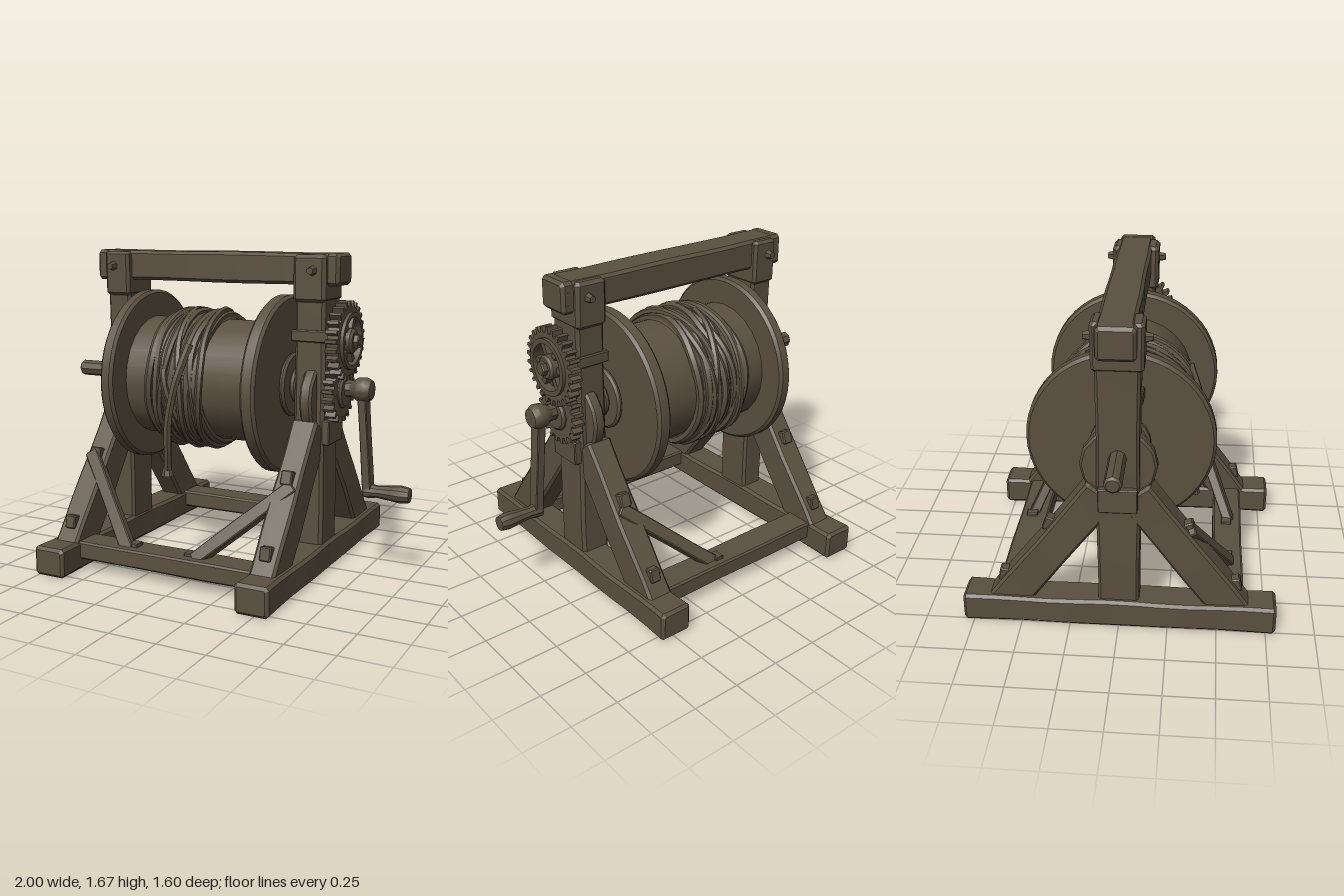
import * as THREE from 'three';
import { toCreasedNormals } from 'three/addons/utils/BufferGeometryUtils.js';

const wood = new THREE.MeshStandardMaterial({ color: 0x5b5040 });
wood.name = 'weathered brown';
const V = (x, y, z) => new THREE.Vector3(x, y, z);

export function createModel() {
  const model = new THREE.Group();
  model.name = 'windlass';
  let seed = 0;

  function add(name, geo, parent = model, crease = 0.6) {
    const mesh = new THREE.Mesh(toCreasedNormals(geo, crease), wood);
    mesh.name = name;
    parent.add(mesh);
    return mesh;
  }

  // Hewn timber from a to b: w is its width along world x (along z for beams lying on x), h its depth
  function beam(name, a, b, w, h, rough = 0.035, parent = model) {
    const len = a.distanceTo(b), c = Math.min(w, h) * 0.1, x = w / 2, y = h / 2;
    const outline = [[-x + c, -y], [x - c, -y], [x, -y + c], [x, y - c], [x - c, y], [-x + c, y], [-x, y - c], [-x, -y + c]];
    const geo = new THREE.ExtrudeGeometry(new THREE.Shape(outline.map(p => new THREE.Vector2(...p))), {
      depth: len - 2 * c, steps: Math.max(1, Math.round(len * 7)),
      bevelThickness: c, bevelSize: c, bevelOffset: -c, bevelSegments: 1,
    });
    geo.translate(0, 0, c);
    const k = ++seed, p = geo.attributes.position;
    for (let i = 0; i < p.count; i++) {
      const s = p.getZ(i);
      p.setX(i, p.getX(i) * (1 + rough * Math.sin(s * 11 + k * 2.3)));
      p.setY(i, p.getY(i) * (1 + rough * Math.sin(s * 8 + k * 1.7)));
    }
    const dir = b.clone().sub(a).normalize();
    const ref = Math.abs(dir.x) > 0.9 ? V(0, 0, 1) : V(1, 0, 0);
    const up = dir.clone().cross(ref).normalize();
    const side = up.clone().cross(dir);
    geo.applyMatrix4(new THREE.Matrix4().makeBasis(side, up, dir).setPosition(a));
    return add(name, geo, parent, 0.35);
  }

  // Turned part around the x axis; profile points are [radius, x]
  function turned(name, profile, y, segments = 32, parent = model) {
    const geo = new THREE.LatheGeometry(profile.map(p => new THREE.Vector2(...p)), segments);
    geo.rotateZ(-Math.PI / 2).translate(0, y, 0);
    return add(name, geo, parent);
  }
  const disc = (name, x0, x1, r, y, segments = 32, bevel = 0.012) =>
    turned(name, [[0, x0], [r - bevel, x0], [r, x0 + bevel], [r, x1 - bevel], [r - bevel, x1], [0, x1]], y, segments);

  // Side frames
  for (const [side, cx, w] of [[-1, -0.67, 0.14], [1, 0.475, 0.165]]) {
    const foot = side < 0 ? -0.68 : 0.488;
    beam('foot', V(foot, 0.08, -0.8), V(foot, 0.08, 0.8), 0.175, 0.15);
    beam('post', V(cx, 0.1, 0), V(cx, 1.5, 0), w, 0.21, 0.02);
    beam('postHead', V(cx, 1.42, 0), V(cx, 1.66, 0), w + 0.01, 0.25, 0.015);
    for (const z of [-1, 1]) {
      beam('leg', V(cx, 0.06, z * 0.615), V(cx, 0.775, z * 0.075), 0.14, 0.185, 0.03);
      beam('legPeg', V(cx, 0.21, z * 0.59), V(cx, 0.28, z * 0.575), 0.06, 0.07);
      beam('legPeg', V(cx, 0.53, z * 0.36), V(cx, 0.6, z * 0.335), 0.06, 0.06);
      const head = new THREE.CylinderGeometry(0.018, 0.027, 0.04, 6);
      head.rotateX(z * Math.PI / 2).translate(cx + side * 0.02, 1.58, z * 0.14);
      add('postPeg', head);
    }
    // Bearing plate through the post, collar and straps
    const bx = side < 0 ? -0.677 : 0.488;
    disc('bearingPlate', bx - 0.033, bx + 0.033, 0.19, 0.92, 14);
    beam('postCatch', V(cx + side * w * 0.54, 0.69, 0), V(cx + side * w * 0.54, 0.82, 0), 0.05, 0.2);
    beam('postStrap', V(side < 0 ? -0.66 : 0.375, 1.25, 0), V(side < 0 ? -0.565 : 0.6, 1.25, 0), 0.225, 0.06);
  }

  // Top beam with thicker ends
  beam('topBeam', V(-0.8, 1.585, -0.005), V(0.61, 1.585, -0.005), 0.185, 0.16, 0.02);
  beam('topBeamEnd', V(-0.815, 1.585, 0), V(-0.74, 1.585, 0), 0.19, 0.165, 0.01);
  beam('topBeamEnd', V(0.55, 1.585, 0), V(0.625, 1.585, 0), 0.19, 0.165, 0.01);

  // Cross rails and corner braces
  for (const z of [-0.56, 0.555]) beam('crossRail', V(-0.64, 0.11, z), V(0.44, 0.11, z), 0.16, 0.095, 0.02);
  beam('brace', V(-0.7, 0.575, 0.35), V(-0.33, 0.13, 0.57), 0.07, 0.055);
  beam('brace', V(0.51, 0.53, 0.36), V(0.06, 0.14, 0.57), 0.07, 0.055);
  beam('brace', V(0.51, 0.53, -0.36), V(0.06, 0.14, -0.57), 0.07, 0.055);
  for (const [x, z] of [[-0.3, 0.55], [0.03, 0.55], [0.03, -0.57]])
    beam('bracePeg', V(x - 0.025, 0.16, z), V(x + 0.025, 0.16, z), 0.06, 0.03);

  // Drum, flanges and hubs
  const axis = 0.98;
  disc('drum', -0.52, 0.3, 0.325, axis, 24);
  disc('flange', -0.565, -0.49, 0.468, axis, 48, 0.015);
  disc('flange', 0.255, 0.337, 0.468, axis, 48, 0.015);
  disc('hub', 0.33, 0.362, 0.17, axis, 20);
  disc('hub', 0.36, 0.4, 0.1, axis, 16);
  disc('hub', -0.605, -0.56, 0.15, axis, 20);
  disc('axle', -1, 0.7, 0.044, axis, 8);

  // Rope wound in uneven, tilted loops over a solid core
  const rope = new THREE.Group();
  rope.name = 'rope';
  model.add(rope);
  turned('ropeCore', [[0.3, -0.36], [0.345, -0.34], [0.36, -0.2], [0.355, -0.05], [0.3, -0.02]], axis, 28, rope);
  function loop(x, radius, tilt, phase, thick) {
    const pts = [];
    for (let i = 0; i < 18; i++) {
      const t = i / 18 * Math.PI * 2;
      const r = radius + 0.007 * Math.sin(3 * t + phase * 2);
      pts.push(V(x + tilt * Math.sin(t + phase) + 0.008 * Math.sin(4 * t + phase), axis + r * Math.sin(t), r * Math.cos(t)));
    }
    add('ropeLoop', new THREE.TubeGeometry(new THREE.CatmullRomCurve3(pts, true), 48, thick, 6, true), rope, 0.9);
  }
  for (let i = 0; i < 9; i++) loop(-0.335 + i * 0.036, 0.347 + 0.008 * Math.sin(i * 2.1), 0.012, i * 1.3, 0.024);
  for (let i = 0; i < 5; i++) loop(-0.25 + i * 0.04, 0.365, 0.05 + 0.012 * (i % 3), i * 1.9, 0.019);
  const tail = new THREE.CatmullRomCurve3([V(-0.1, 1.2, 0.32), V(-0.15, 1.0, 0.385), V(-0.19, 0.8, 0.395), V(-0.2, 0.65, 0.385), V(-0.215, 0.52, 0.36)]);
  add('ropeTail', new THREE.TubeGeometry(tail, 20, 0.022, 6), rope, 0.9);
  const knot = new THREE.CylinderGeometry(0.018, 0.034, 0.06, 7);
  add('ropeEnd', knot.translate(-0.217, 0.53, 0.362), rope);

  // Toothed wheel facing +x
  function gear(name, x, y, depth, teeth, root, tip, bore) {
    const shape = new THREE.Shape();
    for (let i = 0; i < teeth; i++) {
      [[0, root], [0.4, root], [0.52, tip], [0.85, tip]].forEach(([f, r], j) => {
        const a = (i + f) / teeth * Math.PI * 2;
        shape[i + j ? 'lineTo' : 'moveTo'](r * Math.cos(a), r * Math.sin(a));
      });
    }
    shape.closePath();
    shape.holes.push(new THREE.Path().absarc(0, 0, bore, 0, Math.PI * 2, true));
    const geo = new THREE.ExtrudeGeometry(shape, { depth, bevelEnabled: false, curveSegments: 24 });
    add(name, geo.rotateY(Math.PI / 2).translate(x, y, 0));
  }
  const gearY = 1.225;
  gear('largeGear', 0.598, gearY, 0.06, 26, 0.175, 0.205, 0.125);
  turned('gearRim', [[0.122, 0.61], [0.148, 0.61], [0.148, 0.675], [0.122, 0.675], [0.122, 0.61]], gearY, 28);
  for (let i = 0; i < 6; i++) {
    const spoke = new THREE.BoxGeometry(0.04, 0.1, 0.03).translate(0, 0.085, 0);
    add('gearSpoke', spoke.rotateX(i * Math.PI / 3 + 0.5).translate(0.635, gearY, 0));
  }
  disc('gearHub', 0.58, 0.685, 0.065, gearY, 12);
  disc('gearNut', 0.68, 0.712, 0.038, gearY, 6, 0.006);
  gear('smallGear', 0.57, 0.965, 0.056, 20, 0.135, 0.165, 0.04);
  disc('smallGearHub', 0.56, 0.645, 0.09, 0.965, 12);

  // Crank with turned grip
  turned('crankHub', [[0, 0.665], [0.04, 0.668], [0.05, 0.69], [0.062, 0.71], [0.065, 0.75], [0.05, 0.78], [0, 0.787]], axis, 12);
  beam('crankArm', V(0.735, 0.95, 0), V(0.775, 0.43, 0), 0.045, 0.07, 0.05);
  turned('crankGrip', [[0, 0.745], [0.035, 0.75], [0.04, 0.78], [0.032, 0.82], [0.04, 0.9], [0.046, 0.95], [0.038, 0.995], [0, 1]], 0.455, 10);

  return model;
}
